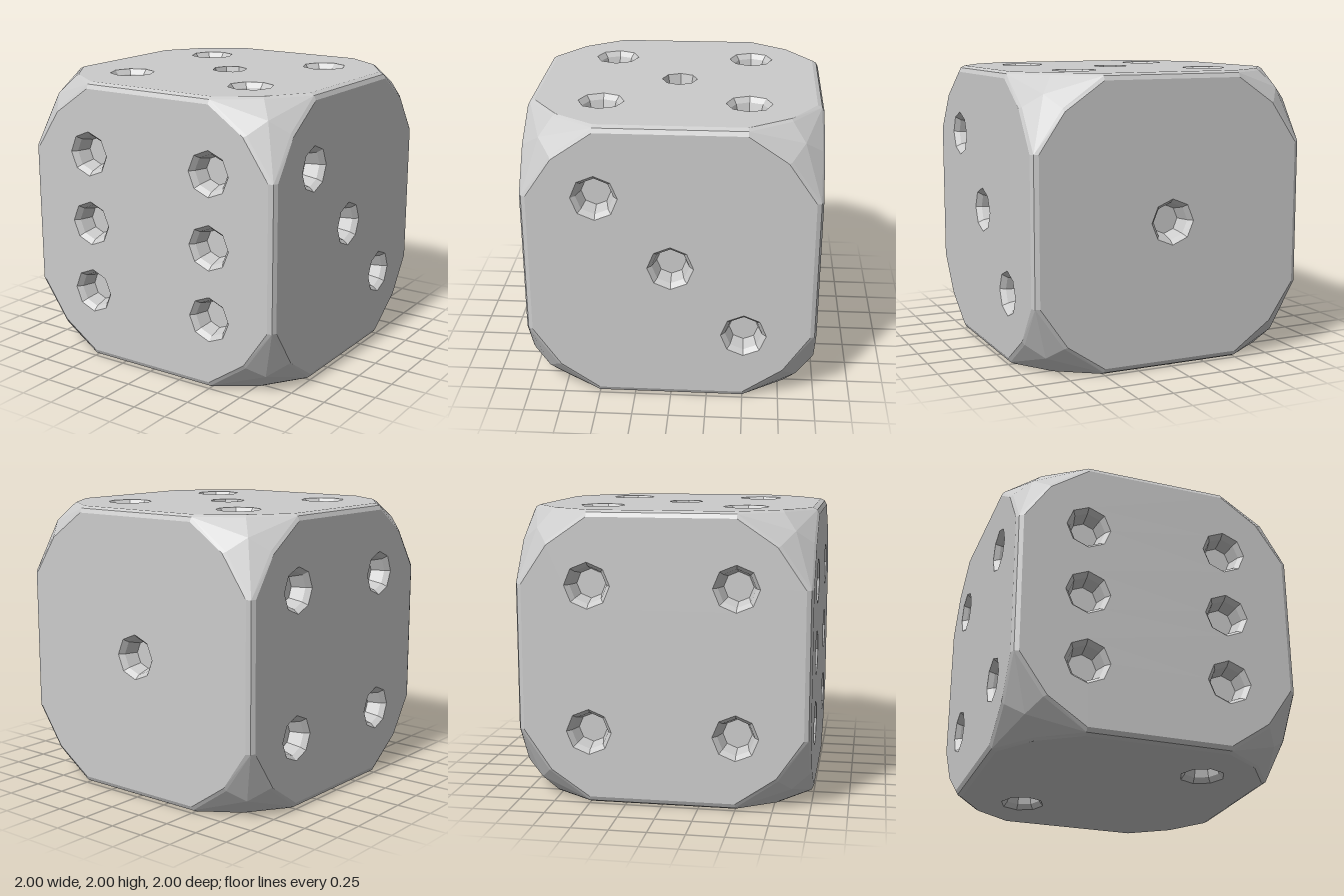
import * as THREE from 'three';

const material = new THREE.MeshStandardMaterial({ color: 0xcccccc, flatShading: true });

// Adds a quad whose front faces away from the centre of the die
function pushQuad(out, a, b, c, d) {
  const n = new THREE.Vector3().subVectors(c, a).cross(new THREE.Vector3().subVectors(d, b));
  const order = n.dot(a) > 0 ? [a, b, c, a, c, d] : [a, c, b, a, d, c];
  order.forEach((v) => out.push(v.x, v.y, v.z));
}

function meshFromPositions(positions, name) {
  const g = new THREE.BufferGeometry();
  g.setAttribute('position', new THREE.Float32BufferAttribute(positions, 3));
  g.computeVertexNormals();
  return named(g, name);
}

function named(geometry, name) {
  const mesh = new THREE.Mesh(geometry, material);
  mesh.name = name;
  return mesh;
}

// Repeats three corner points round the four corners of a face
function ring(points, z) {
  const result = [];
  for (let i = 0; i < 4; i++) {
    for (const [x, y] of points) {
      result.push(new THREE.Vector3(x, y, z).applyAxisAngle(new THREE.Vector3(0, 0, 1), i * Math.PI / 2));
    }
  }
  return result;
}

const E = 0.985; // middle line of the rounded edges
const inner = ring([[0.955, 0.5], [0.765, 0.775], [0.5, 0.955]], 1);
const outer = ring([[E, 0.5], [0.785, 0.785], [0.5, E]], E);

// Eight-sided recess, with or without a chamfered rim
function createPip(x, y, plain) {
  const profile = plain
    ? [[0.125, 0], [0.1, -0.12], [0, -0.12]]
    : [[0.157, 0], [0.128, -0.035], [0.1, -0.13], [0, -0.13]];
  const g = new THREE.LatheGeometry(profile.map((p) => new THREE.Vector2(...p)), 8);
  g.rotateX(Math.PI / 2);
  const pip = named(g, 'pip');
  pip.position.set(x, y, 1);
  return pip;
}

function createFace(name, pips) {
  const face = new THREE.Group();
  face.name = name;
  const shape = new THREE.Shape(inner.map((p) => new THREE.Vector2(p.x, p.y)));
  for (const [x, y, plain] of pips) {
    const r = plain ? 0.125 : 0.157;
    const hole = [];
    for (let i = 0; i < 8; i++) {
      const a = -i * Math.PI / 4;
      hole.push(new THREE.Vector2(x + r * Math.cos(a), y + r * Math.sin(a)));
    }
    shape.holes.push(new THREE.Path(hole));
    face.add(createPip(x, y, plain));
  }
  const panel = named(new THREE.ShapeGeometry(shape), 'facePanel');
  panel.position.z = 1;

  // Narrow bevel round the panel
  const bevel = [];
  inner.forEach((p, i) => {
    const j = (i + 1) % inner.length;
    pushQuad(bevel, p, inner[j], outer[j], outer[i]);
  });
  face.add(panel, meshFromPositions(bevel, 'edgeBevel'));
  return face;
}

// Three kite facets meeting at the tip of one corner
function createCorner(sx, sy, sz) {
  const positions = [];
  const axes = ['x', 'y', 'z'];
  const point = (k, along, b, c) => {
    const v = new THREE.Vector3();
    v[axes[k]] = along;
    v[axes[(k + 1) % 3]] = b;
    v[axes[(k + 2) % 3]] = c;
    return v.multiply(new THREE.Vector3(sx, sy, sz));
  };
  for (let k = 0; k < 3; k++) {
    pushQuad(positions,
      point(k, 0.87, 0.87, 0.87),
      point(k, 0.785, E, 0.785),
      point(k, 0.5, E, E),
      point(k, 0.785, 0.785, E));
  }
  return meshFromPositions(positions, 'cornerFacets');
}

export function createModel() {
  const model = new THREE.Group();
  model.name = 'die';
  const body = new THREE.Group();
  body.name = 'body';
  body.position.y = 1;
  model.add(body);

  const h = 0.5, q = Math.PI / 2;
  const four = [[-h, h], [h, h], [-h, -h], [h, -h]];
  const faces = [
    ['frontFace', 0, 0, [...four, [-h, 0], [h, 0]]],
    ['leftFace', 0, q, [[-h, h], [0, 0], [h, -h]]],
    ['backFace', 0, 2 * q, [[0, 0]]],
    ['rightFace', 0, -q, four],
    ['topFace', -q, 0, [...four, [0, 0, true]]],
    ['bottomFace', q, 0, [[h, h], [-h, -h]]],
  ];
  for (const [name, rx, ry, pips] of faces) {
    const face = createFace(name, pips);
    face.rotation.set(rx, ry, 0);
    body.add(face);
  }

  for (const sx of [-1, 1]) {
    for (const sy of [-1, 1]) {
      for (const sz of [-1, 1]) body.add(createCorner(sx, sy, sz));
    }
  }
  return model;
}
